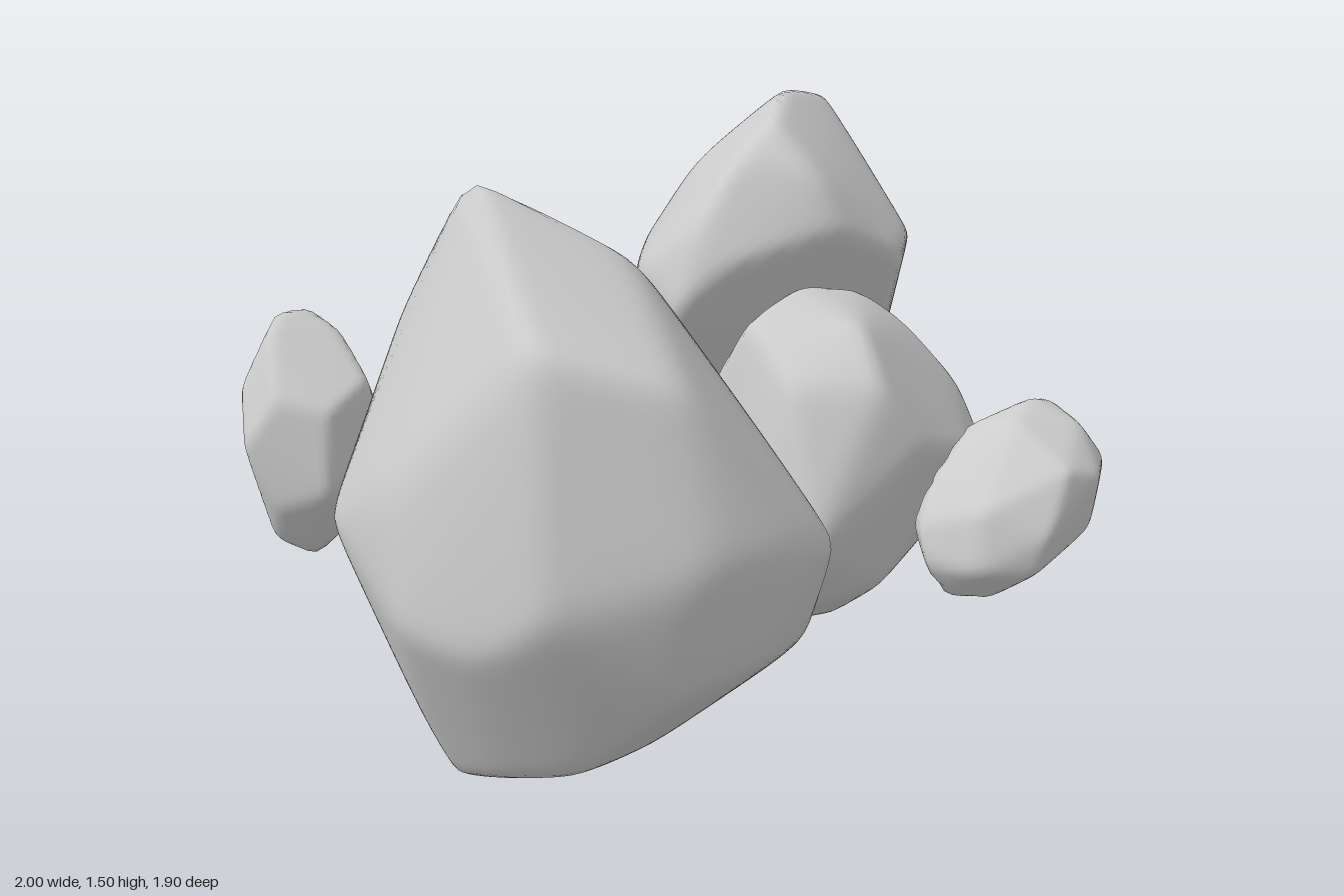
import * as THREE from 'three';
import { mergeVertices } from 'three/addons/utils/BufferGeometryUtils.js';
import { ConvexGeometry } from 'three/addons/geometries/ConvexGeometry.js';

const material = new THREE.MeshStandardMaterial({ color: 0xcccccc });

// Flat sides of the convex block spanned by the corners, seen from its centre
function facets(corners) {
  const p = new ConvexGeometry(corners).attributes.position;
  const planes = [];
  for (let i = 0; i < p.count; i += 3) {
    const [a, b, c] = [0, 1, 2].map(k => new THREE.Vector3().fromBufferAttribute(p, i + k));
    const n = b.clone().sub(a).cross(c.sub(a));
    if (n.length() < 1e-8) continue;
    n.normalize();
    const d = n.dot(a);
    if (d > 1e-4) planes.push(n.divideScalar(d));
  }
  return planes;
}

// A worn boulder: a sphere pushed onto a chiselled block, with its edges softened.
// Each dent is { at, depth, width }.
function boulder(name, points, detail, dents = []) {
  const corners = points.map(p => new THREE.Vector3(...p));
  const box = new THREE.Box3().setFromPoints(corners);
  const centre = corners.reduce((s, c) => s.add(c), new THREE.Vector3()).divideScalar(corners.length);
  const planes = facets(corners.map(c => c.clone().sub(centre)));

  let geo = new THREE.IcosahedronGeometry(1, detail);
  geo.deleteAttribute('normal');
  geo.deleteAttribute('uv');
  geo = mergeVertices(geo, 1e-5);
  const pos = geo.attributes.position;
  const v = new THREE.Vector3();
  const sharpness = 50;
  for (let i = 0; i < pos.count; i++) {
    v.fromBufferAttribute(pos, i).normalize();
    let sum = 0;
    for (const n of planes) sum += Math.max(0, n.dot(v)) ** sharpness;
    let r = sum ** (-1 / sharpness);
    for (const { at, depth, width } of dents) {
      const dir = new THREE.Vector3(...at).sub(centre).normalize();
      r -= depth * Math.exp(-((v.angleTo(dir) / width) ** 2));
    }
    pos.setXYZ(i, v.x * r, v.y * r, v.z * r);
  }

  // Softening shrinks the block a little, so fit it back to its corners
  geo.computeBoundingBox();
  const from = geo.boundingBox;
  const scale = box.getSize(new THREE.Vector3()).divide(from.getSize(new THREE.Vector3()));
  geo.translate(-from.min.x, -from.min.y, -from.min.z);
  geo.scale(scale.x, scale.y, scale.z);
  geo.translate(box.min.x, box.min.y, box.min.z);
  geo.computeVertexNormals();
  const mesh = new THREE.Mesh(geo, material);
  mesh.name = name;
  return mesh;
}

export function createModel() {
  const group = new THREE.Group();
  group.name = 'boulderCluster';

  group.add(
    // Tall peaked boulder
    boulder('largeBoulder', [
      [-0.62, 1.41, -0.03], [-0.82, 1.13, 0.45], [-0.58, 1.06, 0.62], [-0.4, 1.24, 0.25],
      [-0.12, 1.04, 0.05], [-0.3, 1.1, -0.3], [-0.45, 0.95, -0.61], [-0.3, 0.7, -0.6],
      [-0.47, 0.7, -0.64], [-0.45, 0.37, -0.44], [-0.04, 0.72, 0.1], [-0.04, 0.75, -0.1],
      [-0.15, 0.3, -0.2], [-0.08, 0.33, 0.12], [-0.13, 0.17, 0.05], [-0.27, 0.04, 0],
      [-0.6, 0, -0.04], [-0.45, 0.05, -0.26], [-0.78, 0.07, 0.05], [-0.4, 0.13, 0.33],
      [-0.6, 0.42, 0.65], [-0.4, 0.7, 0.75], [-0.22, 0.68, 0.71], [-0.14, 0.65, 0.55],
      [-0.4, 0.45, 0.7], [-1, 0.53, 0.2], [-0.96, 0.8, 0.1], [-0.88, 0.6, 0.52],
      [-0.92, 0.65, -0.2], [-0.75, 0.65, -0.41], [-0.9, 0.3, 0.1], [-0.6, 0.7, 0.72],
      [-0.72, 0.18, 0.42], [-0.8, 0.12, 0.2], [-0.2, 0.42, 0.6], [-0.14, 0.33, 0.42],
      [-0.94, 0.5, 0.37],
    ], 26),

    // Leaning boulder with a hollow under its overhang
    boulder('upperBoulder', [
      [0.48, 1.5, -0.18], [0.3, 1.46, -0.02], [0.7, 1.46, -0.25], [0.83, 1.35, -0.34],
      [0.12, 1.38, 0.02], [0.01, 1.25, 0.03], [-0.05, 1.03, 0], [0.05, 1.15, 0.12],
      [0.3, 1.2, 0.21], [0.5, 1.13, 0.21], [0.63, 1.15, 0.13], [0.55, 0.95, 0.12],
      [0.05, 0.85, -0.05], [0, 1.1, -0.2], [0.18, 1.07, -0.41], [0.39, 1.06, -0.62],
      [0.6, 0.85, -0.73], [0.75, 0.75, -0.7], [0.95, 0.85, -0.6], [1, 0.95, -0.49],
      [0.97, 0.79, -0.45], [0.92, 1.05, -0.15], [0.92, 1.15, -0.4], [0.6, 1.39, -0.4],
      [0.5, 0.37, -0.45], [0.3, 0.42, -0.27], [0.5, 0.47, -0.6], [0.2, 0.6, -0.45],
      [0.45, 0.6, -0.08], [0.62, 0.71, 0.02], [0.6, 1.15, -0.63], [0.35, 1.3, -0.38],
      [0.28, 1.35, 0.15], [0.15, 0.53, -0.36], [0.88, 0.76, -0.25], [0.97, 1.01, -0.5],
    ], 26, [
      { at: [0.72, 0.61, -0.2], depth: 0.07, width: 0.24 },
      { at: [0.76, 0.62, -0.42], depth: 0.05, width: 0.24 },
    ]),

    // Rounded boulder in front
    boulder('frontBoulder', [
      [-0.05, 1.05, 0.25], [0.15, 1.1, 0.22], [0.32, 1.07, 0.25], [0.1, 1.06, 0.48],
      [-0.1, 0.95, 0.45], [-0.15, 0.75, 0.4], [-0.15, 0.6, 0.57], [0.15, 0.8, 0.64],
      [0.35, 0.75, 0.6], [0.5, 0.85, 0.42], [0.62, 0.65, 0.35], [0.62, 0.68, 0.12],
      [0.6, 0.55, 0.2], [0.5, 0.38, -0.02], [0.3, 0.37, -0.03], [-0.1, 0.33, 0.3],
      [0.15, 0.3, 0.35], [-0.13, 0.4, 0.45], [0.4, 0.5, 0.45], [0.1, 0.45, 0.55],
      [-0.05, 0.6, -0.05], [0.2, 0.8, -0.05], [0.5, 0.5, -0.11], [0.05, 0.95, 0.59],
      [0.4, 1, 0.32], [0.57, 0.68, 0.45],
    ], 20),

    // Small stone floating at the front
    boulder('frontStone', [
      [0.04, 0.58, 0.74], [0.1, 0.49, 0.76], [0.17, 0.48, 0.82], [0.3, 0.5, 0.82],
      [0.05, 0.65, 0.7], [0.12, 0.73, 0.68], [0.27, 0.83, 0.66], [0.42, 0.88, 0.72],
      [0.3, 0.86, 0.78], [0.52, 0.85, 0.7], [0.54, 0.73, 0.75], [0.46, 0.61, 0.83],
      [0.52, 0.75, 0.86], [0.4, 0.75, 0.94], [0.3, 0.78, 0.93], [0.22, 0.65, 0.95],
      [0.4, 0.62, 0.92], [0.09, 0.57, 0.86], [0.2, 0.56, 0.93], [0.45, 0.84, 0.84],
      [0.12, 0.7, 0.84], [0.5, 0.78, 0.64], [0.3, 0.65, 0.66], [0.35, 0.53, 0.73],
    ], 14),

    // Long stone at the back
    boulder('backStone', [
      [-0.17, 0.78, -0.62], [-0.12, 0.64, -0.7], [-0.04, 0.75, -0.86], [0.05, 0.74, -0.93],
      [0.17, 0.7, -0.95], [0.3, 0.64, -0.92], [0.37, 0.64, -0.82], [0.36, 0.68, -0.65],
      [0.25, 0.72, -0.4], [0, 0.9, -0.5], [-0.08, 0.93, -0.72], [0.15, 0.84, -0.75],
      [0.03, 0.88, -0.84], [0.2, 0.51, -0.85], [0.05, 0.55, -0.78], [0.3, 0.53, -0.72],
      [0.1, 0.53, -0.42], [0.26, 0.75, -0.84], [0.2, 0.79, -0.52], [0.02, 0.62, -0.87],
      [0.1, 0.82, -0.9], [0.2, 0.57, -0.93],
    ], 14),

    // Stone wedged between the two biggest boulders
    boulder('middleStone', [
      [-0.34, 0.95, -0.52], [-0.3, 0.95, -0.6], [-0.18, 0.9, -0.63], [0, 0.92, -0.6],
      [0.17, 0.92, -0.4], [0.1, 0.92, -0.25], [0, 0.95, -0.11], [-0.12, 1, -0.18],
      [-0.28, 1, -0.4], [-0.1, 1.1, -0.35], [-0.2, 1.09, -0.5], [0.05, 1.07, -0.42],
      [0.05, 0.78, -0.45], [-0.15, 0.75, -0.45], [-0.1, 0.78, -0.25], [-0.25, 0.83, -0.5],
      [0.1, 0.97, -0.5], [0.02, 1.04, -0.22],
    ], 14),

    // Small upright stone at the back corner
    boulder('cornerStone', [
      [-0.87, 0.7, -0.68], [-0.82, 0.82, -0.77], [-0.63, 0.8, -0.9], [-0.55, 0.65, -0.88],
      [-0.48, 0.75, -0.77], [-0.49, 0.68, -0.65], [-0.6, 0.85, -0.54], [-0.75, 0.6, -0.5],
      [-0.72, 1, -0.75], [-0.6, 0.98, -0.8], [-0.66, 0.37, -0.71], [-0.72, 0.4, -0.64],
      [-0.55, 0.43, -0.78], [-0.79, 0.44, -0.7], [-0.65, 0.45, -0.84], [-0.6, 0.95, -0.65],
      [-0.82, 0.82, -0.61], [-0.52, 0.82, -0.84], [-0.5, 0.58, -0.77], [-0.7, 0.62, -0.86],
      [-0.82, 0.54, -0.62], [-0.58, 0.5, -0.6], [-0.72, 0.8, -0.52], [-0.59, 0.7, -0.53],
      [-0.77, 0.94, -0.7],
    ], 14),
  );
  return group;
}
